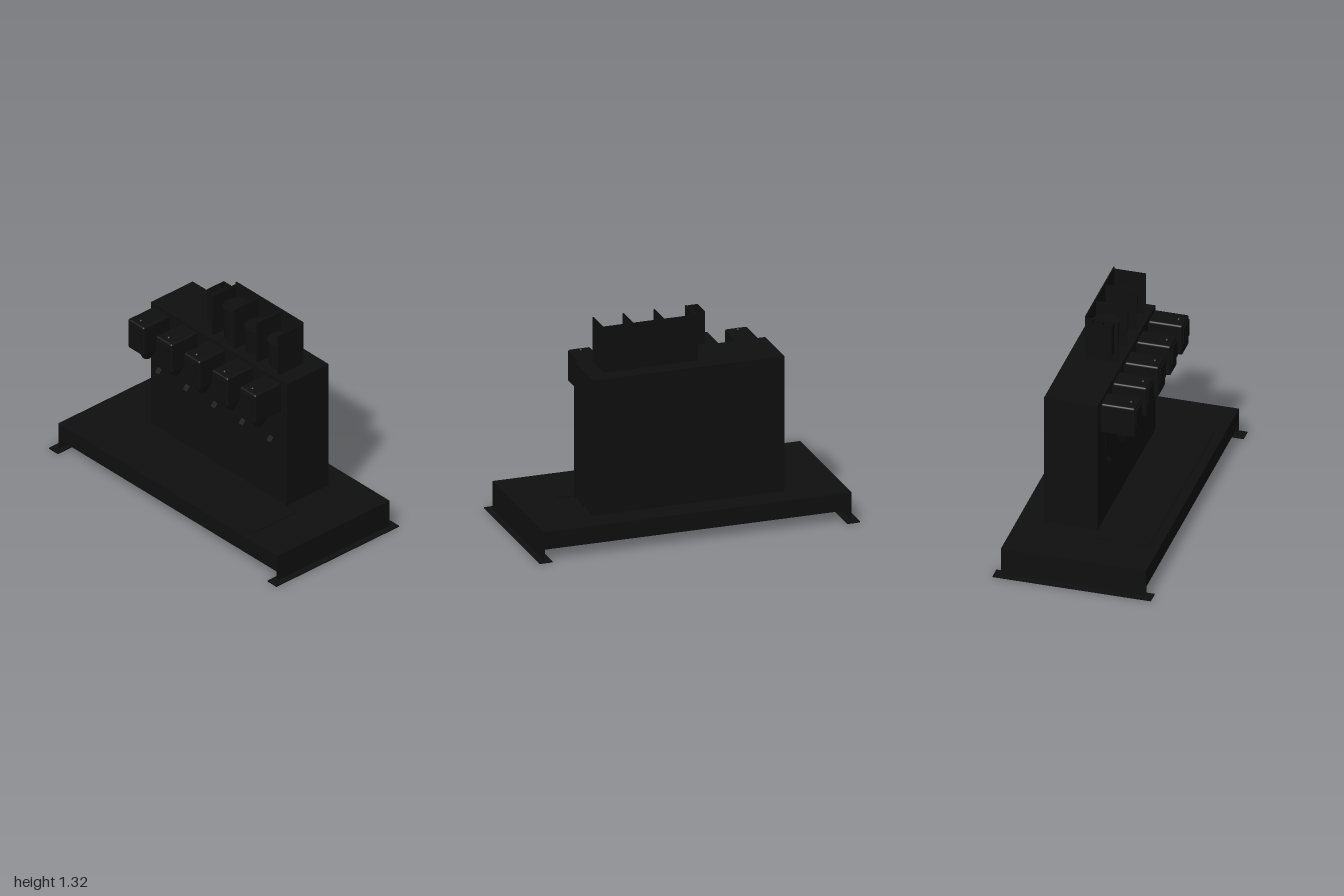
import * as THREE from 'three';
import { RoundedBoxGeometry } from 'three/addons/geometries/RoundedBoxGeometry.js';

export function createModel() {
  const root = new THREE.Group();
  root.name = 'drinkDispenser';
  const black = new THREE.MeshStandardMaterial({ color: 0x0f0f0f });

  const add = (parent, name, geometry, x = 0, y = 0, z = 0) => {
    const mesh = new THREE.Mesh(geometry, black);
    mesh.name = name;
    mesh.position.set(x, y, z);
    parent.add(mesh);
    return mesh;
  };
  // Box given by its extents on each axis
  const box = (parent, name, x0, x1, y0, y1, z0, z1) =>
    add(parent, name, new THREE.BoxGeometry(x1 - x0, y1 - y0, z1 - z0),
      (x0 + x1) / 2, (y0 + y1) / 2, (z0 + z1) / 2);

  // Base, drip tray and tower
  box(root, 'base', -0.96, 0.96, 0.07, 0.18, -0.445, 0.445);
  box(root, 'dripTray', -0.69, 0.69, 0.18, 0.186, 0.05, 0.385);
  box(root, 'tower', -0.597, 0.597, 0.18, 1.03, -0.29, 0.04);
  box(root, 'sideSwitch', -0.606, -0.597, 0.765, 0.805, -0.045, -0.005);

  // Side rails with flat feet
  for (const s of [-1, 1]) {
    const rail = new THREE.Group();
    rail.name = s > 0 ? 'leftRail' : 'rightRail';
    root.add(rail);
    box(rail, 'railWeb', s * 0.957 - 0.003, s * 0.957 + 0.003, 0, 0.07, -0.445, 0.445);
    box(rail, 'railFoot', s * 0.96 - 0.04, s * 0.96 + 0.04, 0, 0.006, -0.485, 0.485);
  }

  // Lever side profile: thin strip, kinked forward at its lower end
  const lever = new THREE.Shape([
    [0.082, 0.81], [0.062, 0.81], [0.062, 0.628], [0.086, 0.6],
    [0.089, 0.602], [0.066, 0.63], [0.066, 0.805], [0.082, 0.805],
  ].map(([z, y]) => new THREE.Vector2(-z, y)));
  const leverGeo = new THREE.ExtrudeGeometry(lever, { depth: 0.036, bevelEnabled: false });
  leverGeo.translate(0, 0, -0.018).rotateY(Math.PI / 2);

  // Five dispensing heads
  const bodyGeo = new RoundedBoxGeometry(0.14, 0.2, 0.21, 3, 0.012);
  const nozzleGeo = new THREE.LatheGeometry([
    [0, 0.755], [0.026, 0.755], [0.054, 0.812], [0.056, 0.828], [0, 0.828],
  ].map(([r, y]) => new THREE.Vector2(r, y)), 32).toNonIndexed();
  nozzleGeo.computeVertexNormals();
  const knobGeo = new THREE.SphereGeometry(0.012, 16, 12);
  for (let i = 0; i < 5; i++) {
    const head = new THREE.Group();
    head.name = 'dispenserHead' + (i + 1);
    head.position.x = (i - 2) * 0.245;
    root.add(head);
    add(head, 'headBody', bodyGeo, 0, 0.925, 0.152);
    box(head, 'headMount', -0.05, 0.05, 0.89, 1.0, 0.035, 0.05);
    box(head, 'frontPlate', -0.055, 0.055, 0.895, 1.005, 0.25, 0.264);
    add(head, 'topKnob', knobGeo, 0, 1.026, 0.215);
    add(head, 'nozzle', nozzleGeo, 0, 0, 0.17);
    box(head, 'leverMount', -0.012, 0.012, 0.805, 0.828, 0.07, 0.08);
    add(head, 'lever', leverGeo);
  }

  // Cup rack on top: back panel, dividers and cup stacks, open at front and top
  const rack = new THREE.Group();
  rack.name = 'cupRack';
  root.add(rack);
  box(rack, 'rackBack', -0.095, 0.492, 1.03, 1.318, -0.186, -0.178);
  for (const x of [-0.09, 0.105, 0.3, 0.488])
    box(rack, 'rackDivider', x - 0.004, x + 0.004, 1.03, 1.306, -0.18, 0.015);
  const stacks = [[0.01, 0.215, 0.08], [0.2, 0.17, 0.08], [0.4, 0.17, 0.078]];
  for (const [x, h, r] of stacks) {
    add(rack, 'cupStack', new THREE.CylinderGeometry(r, r * 0.9, h, 32), x, 1.03 + h / 2, -0.088);
  }

  // Two-compartment holder on the side of the rack, open at the top
  const holder = new THREE.Group();
  holder.name = 'sideHolder';
  root.add(holder);
  box(holder, 'holderFloor', -0.157, -0.094, 1.11, 1.118, -0.14, -0.005);
  for (const x of [-0.157, -0.1])
    box(holder, 'holderSide', x, x + 0.006, 1.11, 1.312, -0.14, -0.005);
  for (const z of [-0.14, -0.0755, -0.011])
    box(holder, 'holderWall', -0.157, -0.094, 1.11, 1.312, z, z + 0.006);

  return root;
}
